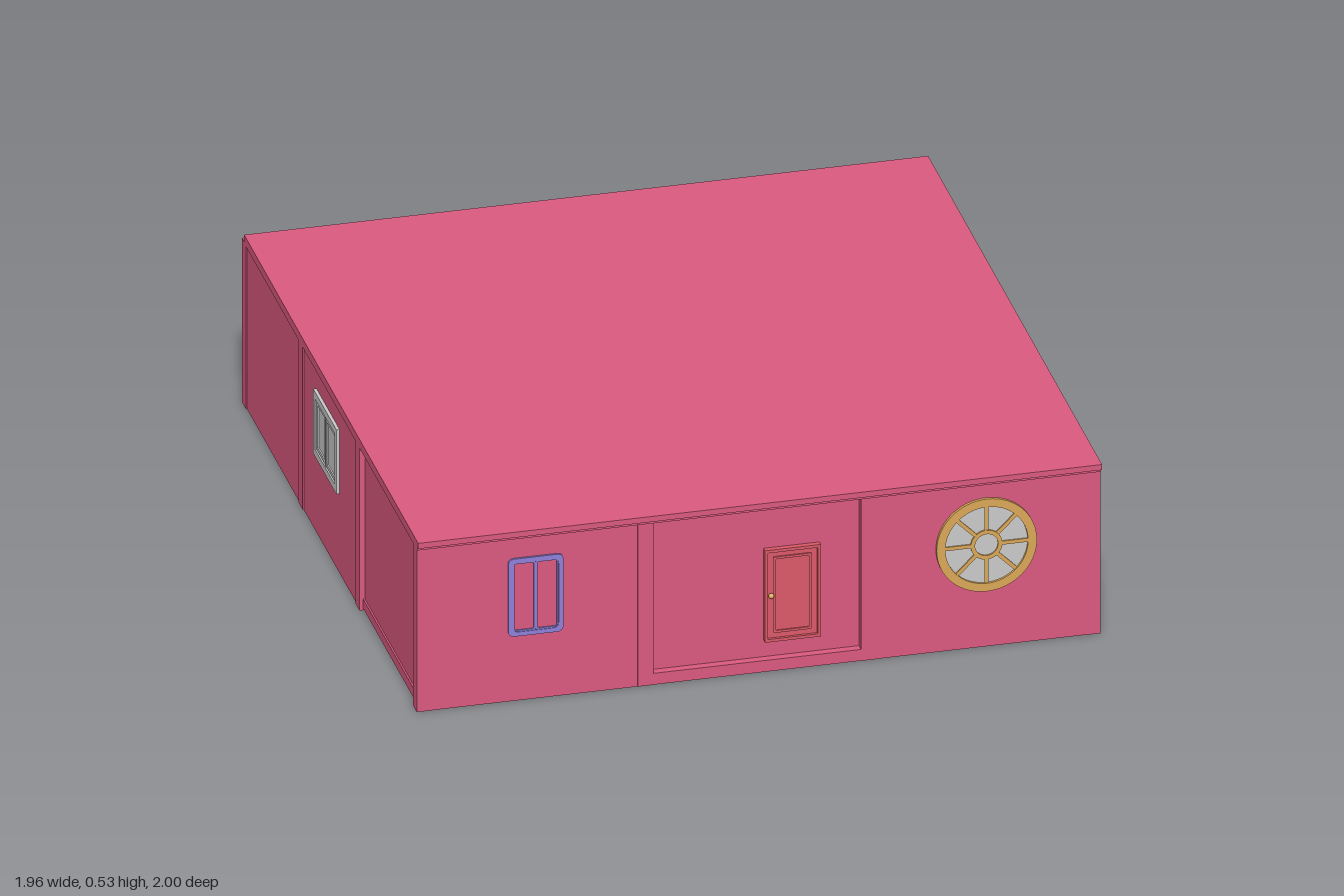
import * as THREE from 'three';

const material = (color, side = THREE.FrontSide) => new THREE.MeshStandardMaterial({ color, side });
const pink = material(0xdc5a80), grey = material(0xcccccc), tan = material(0xdca858);
const blue = material(0x9080dc), red = material(0xdc5a68);

function add(parent, name, geometry, mat, x = 0, y = 0, z = 0) {
  const mesh = new THREE.Mesh(geometry, mat);
  mesh.name = name;
  mesh.position.set(x, y, z);
  parent.add(mesh);
  return mesh;
}

// Box given by its lower and upper corners
function block(parent, name, mat, x0, x1, y0, y1, z0, z1) {
  const g = new THREE.BoxGeometry(x1 - x0, y1 - y0, z1 - z0);
  return add(parent, name, g, mat, (x0 + x1) / 2, (y0 + y1) / 2, (z0 + z1) / 2);
}

function roundedRect(target, w, h, r) {
  const a = w / 2, b = h / 2;
  target.moveTo(-a + r, -b);
  target.lineTo(a - r, -b);
  target.quadraticCurveTo(a, -b, a, -b + r);
  target.lineTo(a, b - r);
  target.quadraticCurveTo(a, b, a - r, b);
  target.lineTo(-a + r, b);
  target.quadraticCurveTo(-a, b, -a, b - r);
  target.lineTo(-a, -b + r);
  target.quadraticCurveTo(-a, -b, -a + r, -b);
  return target;
}

// Flat frame with an opening, facing +z
function frame(parent, name, mat, w, h, rim, depth, r = 0.002) {
  const shape = roundedRect(new THREE.Shape(), w, h, r);
  shape.holes.push(roundedRect(new THREE.Path(), w - 2 * rim, h - 2 * rim, r));
  const g = new THREE.ExtrudeGeometry(shape, { depth, bevelEnabled: false, curveSegments: 6 });
  return add(parent, name, g, mat);
}

// Group fixed to a wall, with +z pointing outward
function fixture(parent, name, x, y, z, turn = 0) {
  const g = new THREE.Group();
  g.name = name;
  g.position.set(x, y, z);
  g.rotation.y = turn;
  parent.add(g);
  return g;
}

// Window with evenly spaced bars over a flat pane
function window_(g, frameMat, w, h, rim, cols, rows, depth) {
  block(g, 'pane', grey, -w / 2 + rim / 2, w / 2 - rim / 2, -h / 2 + rim / 2, h / 2 - rim / 2, -0.005, 0.002);
  frame(g, 'windowFrame', frameMat, w, h, rim, depth);
  for (let i = 1; i < cols; i++) {
    const x = -w / 2 + (w * i) / cols;
    block(g, 'verticalBar', frameMat, x - 0.005, x + 0.005, -h / 2 + rim, h / 2 - rim, 0, depth * 0.8);
  }
  for (let i = 1; i < rows; i++) {
    const y = -h / 2 + (h * i) / rows;
    block(g, 'horizontalBar', frameMat, -w / 2 + rim, w / 2 - rim, y - 0.005, y + 0.005, 0, depth * 0.7);
  }
}

export function createModel() {
  const model = new THREE.Group();
  model.name = 'building';
  const X = 0.975, front = 0.985, back = -0.97, top = 0.508;

  // Roof slab with a thin lip under it
  block(model, 'roof', pink, -X, X, 0.513, 0.53, -0.945, 1);
  block(model, 'roofLip', pink, -X, X, 0.503, 0.513, -0.942, 0.99);

  // Partition walls whose ends show as pillars
  const xs = [[-0.345, -0.3], [0.292, 0.342]], zs = [[0.3, 0.345], [-0.335, -0.29]];
  for (const [a, b] of xs) block(model, 'crossPartition', pink, a, b, 0, top, back, front);
  for (const [a, b] of zs) block(model, 'longPartition', pink, -X, X, 0, top, a, b);

  // Corner posts
  for (const s of [-1, 1]) {
    const x0 = s < 0 ? -X : X - 0.045;
    block(model, 'cornerPost', pink, x0, x0 + 0.045, 0, top, front - 0.045, front);
    block(model, 'cornerPost', pink, x0, x0 + 0.045, 0, top, back, back + 0.045);
  }

  // Floors and outer walls of the nine rooms
  const xCells = [[-X + 0.01, -0.345], [-0.3, 0.292], [0.342, X - 0.01]];
  const zCells = [[back + 0.01, -0.335], [-0.29, 0.3], [0.345, front - 0.01]];
  xCells.forEach(([a, b], i) => {
    zCells.forEach(([c, d]) => block(model, 'floor', pink, a, b, 0.006, 0.035, c, d));
    const frontIn = i === 1 ? 0.025 : 0.001;
    block(model, 'frontWall', pink, a, b, 0, top, front - 0.05, front - frontIn).position.y += i === 1 ? 0.002 : 0;
    block(model, 'backWall', pink, a, b, 0.002, top, back + [0.008, 0.012, 0.003][i], back + 0.05);
  });
  block(model, 'frontSill', pink, -0.3, 0.292, 0, 0.035, front - 0.05, front - 0.001);
  block(model, 'backSill', pink, -X + 0.04, -0.345, 0, 0.035, back + 0.001, back + 0.05);
  zCells.forEach(([c, d], i) => {
    block(model, 'rightWall', pink, X - 0.05, X - 0.001, 0, top, c, d);
    block(model, 'leftWall', pink, -X + (i === 2 ? 0.015 : 0.003), -X + 0.05, 0, top, c, d);
  });

  // Panelled front door
  const door = fixture(model, 'door', 0.1, 0.228, front - 0.025);
  block(door, 'doorPanel', red, -0.075, 0.075, -0.138, 0.138, -0.005, 0.008);
  frame(door, 'doorFrame', red, 0.16, 0.285, 0.009, 0.016);
  frame(door, 'doorMoulding', red, 0.108, 0.235, 0.007, 0.012);
  add(door, 'doorKnob', new THREE.SphereGeometry(0.008, 12, 8), tan, -0.062, 0, 0.016);

  // Double window with a rounded frame
  const twin = fixture(model, 'twinWindow', -0.637, 0.322, front);
  frame(twin, 'outerFrame', blue, 0.157, 0.24, 0.013, 0.006, 0.018);
  for (const s of [-1, 1]) {
    const sash = frame(twin, 'sash', blue, 0.066, 0.215, 0.005, 0.004, 0.006);
    sash.position.x = s * 0.033;
  }

  // Round window with eight spokes
  const round = fixture(model, 'roundWindow', 0.648, 0.318, front);
  const disc = (name, r, d, mat) => {
    const m = add(round, name, new THREE.CylinderGeometry(r, r, d, 48), mat);
    m.rotation.x = Math.PI / 2;
  };
  disc('glass', 0.13, 0.004, grey);
  const ring = (name, inner, outer, depth) => {
    const shape = new THREE.Shape().absarc(0, 0, outer, 0, Math.PI * 2);
    shape.holes.push(new THREE.Path().absarc(0, 0, inner, 0, Math.PI * 2, true));
    add(round, name, new THREE.ExtrudeGeometry(shape, { depth, bevelEnabled: false, curveSegments: 32 }), tan);
  };
  ring('outerRing', 0.118, 0.143, 0.009);
  ring('hubRing', 0.033, 0.045, 0.007);
  for (let i = 0; i < 8; i++) {
    const spoke = add(round, 'spoke', new THREE.BoxGeometry(0.08, 0.011, 0.006), tan);
    const a = (i * Math.PI) / 4;
    spoke.position.set(Math.cos(a) * 0.081, Math.sin(a) * 0.081, 0.003);
    spoke.rotation.z = a;
  }

  // Back windows: a pair with six panes each and a plain one
  for (const x of [0.063, -0.157])
    window_(fixture(model, 'pairedWindow', x, 0.345, back + 0.012, Math.PI), pink, 0.17, 0.2, 0.012, 2, 3, 0.018);
  window_(fixture(model, 'plainWindow', -0.803, 0.34, back + 0.008, Math.PI), pink, 0.157, 0.205, 0.014, 1, 1, 0.018);

  // Louvred back window with a ledge
  const vent = fixture(model, 'louvredWindow', 0.535, 0.36, back + 0.003, Math.PI);
  frame(vent, 'ventFrame', grey, 0.28, 0.165, 0.018, 0.012);
  block(vent, 'ventBack', grey, -0.13, 0.13, -0.07, 0.07, -0.002, 0.002);
  block(vent, 'ledge', grey, -0.122, 0.122, 0.008, 0.02, 0, 0.033);
  for (const y of [-0.045, -0.02, 0.045]) {
    const slat = block(vent, 'slat', grey, -0.12, 0.12, y - 0.003, y + 0.003, 0, 0.014);
    slat.rotation.x = 0.5;
  }

  // Left side window with two sashes
  const side = fixture(model, 'sideWindow', -X + 0.003, 0.345, -0.02, -Math.PI / 2);
  window_(side, grey, 0.26, 0.2, 0.022, 2, 1, 0.009);
  for (const s of [-1, 1])
    frame(side, 'sash', grey, 0.1, 0.15, 0.01, 0.006).position.x = s * 0.055;

  return model;
}
